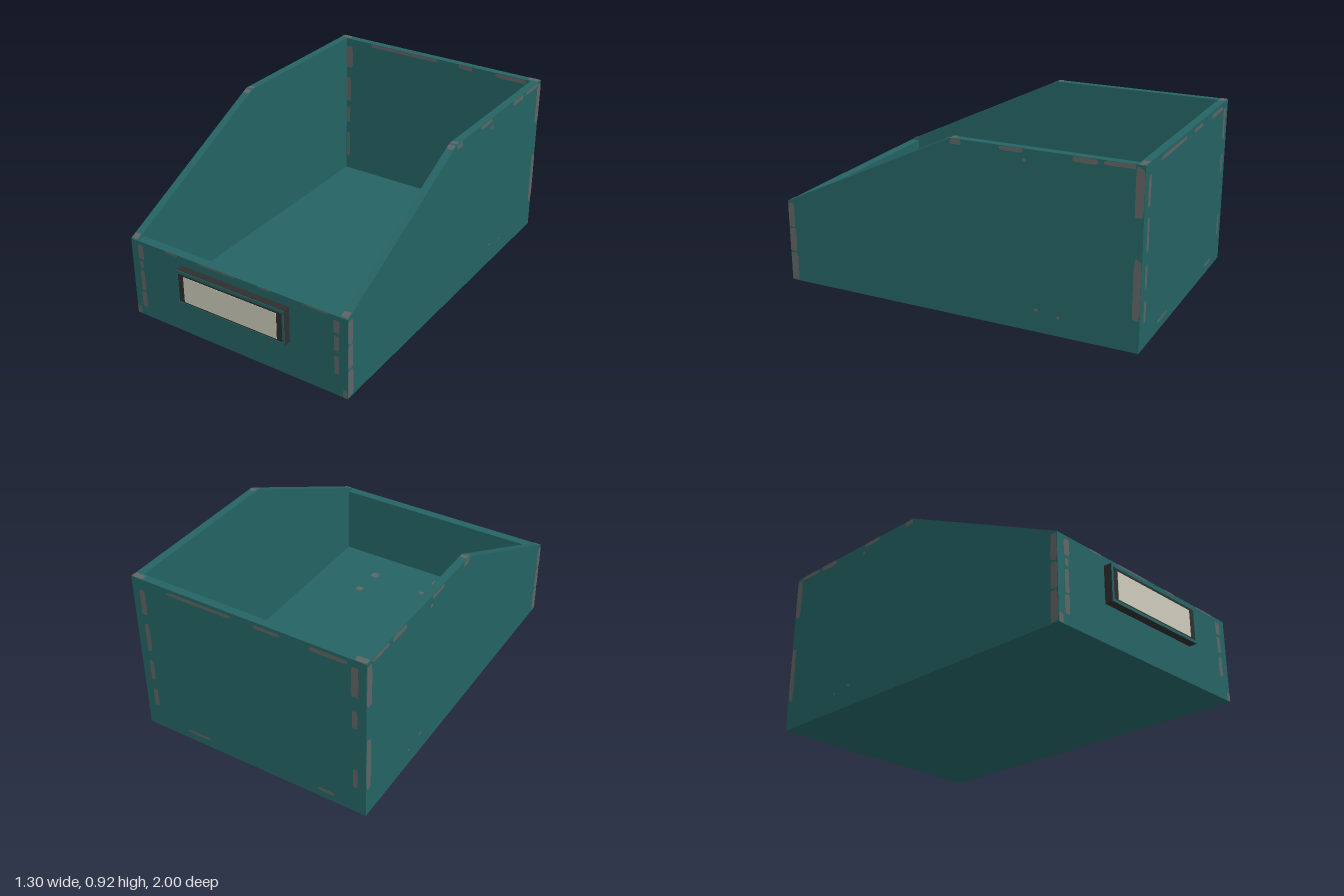
import * as THREE from 'three';

const W = 0.65, T = 0.042, BACK = -1, FRONT = 0.955, FT = 0.05, H = 0.915, LIP = 0.445, FLOOR = 0.04;

const mat = (name, color) => {
  const m = new THREE.MeshStandardMaterial({ color });
  m.name = name;
  return m;
};

export function createModel() {
  const root = new THREE.Group();
  root.name = 'storageBin';
  const teal = mat('teal paint', 0x256363);
  const grey = mat('worn metal', 0x616464);
  const dark = mat('dark frame', 0x302f2f);
  const paper = mat('label paper', 0xcccbbb);

  const add = (name, geo, material, parent = root) => {
    const m = new THREE.Mesh(geo, material);
    m.name = name;
    parent.add(m);
    return m;
  };
  // Box given by its minimum and maximum corners
  const box = (name, x0, x1, y0, y1, z0, z1, material) =>
    add(name, new THREE.BoxGeometry(x1 - x0, y1 - y0, z1 - z0), material)
      .position.set((x0 + x1) / 2, (y0 + y1) / 2, (z0 + z1) / 2);

  // Sloped side walls, drawn with u = -z
  const profile = new THREE.Shape([
    [-FRONT, 0], [-BACK, 0], [-BACK, H], [0.02, H], [-FRONT, LIP],
  ].map(([u, v]) => new THREE.Vector2(u, v)));
  const wall = new THREE.ExtrudeGeometry(profile, { depth: T, bevelEnabled: false }).rotateY(Math.PI / 2);
  add('leftWall', wall, teal).position.x = W - T;
  add('rightWall', wall, teal).position.x = -W;

  // Front, back and floor panels
  const I = W - T;
  box('frontWall', -I, I, 0, LIP, FRONT - FT, FRONT, teal);
  box('backWall', -I, I, 0, H, BACK, BACK + T, teal);
  box('floor', -I, I, 0, FLOOR, BACK + T, FRONT - FT, teal);

  // Label holder: dark body, painted rim, paper insert
  box('labelHolder', -0.325, 0.325, 0.2, 0.395, FRONT, 0.997, dark);
  const rect = (P, x, y0, y1) => new P().moveTo(-x, y0).lineTo(x, y0).lineTo(x, y1).lineTo(-x, y1).lineTo(-x, y0);
  const rim = rect(THREE.Shape, 0.325, 0.2, 0.395);
  rim.holes.push(rect(THREE.Path, 0.314, 0.214, 0.379));
  add('labelRim', new THREE.ExtrudeGeometry(rim, { depth: 0.003, bevelEnabled: false }), teal).position.z = 0.997;
  box('label', -0.28, 0.28, 0.222, 0.367, 0.997, 0.999, paper);

  // Worn patches: slightly irregular rounded plates
  let seed = 7;
  const rnd = () => (seed = (seed * 16807) % 2147483647) / 2147483647;
  const patch = (u0, u1, v0, v1) => {
    const pts = [];
    for (let i = 0; i < 16; i++) {
      const a = (i + 0.5) / 16 * Math.PI * 2, c = Math.cos(a), s = Math.sin(a);
      const k = 1 - 0.12 * rnd();
      const q = (t) => Math.sign(t) * Math.abs(t) ** 0.35 * k;
      pts.push(new THREE.Vector2((u0 + u1) / 2 + q(c) * (u1 - u0) / 2, (v0 + v1) / 2 + q(s) * (v1 - v0) / 2));
    }
    return new THREE.ShapeGeometry(new THREE.Shape(pts));
  };
  const wear = (name, position, rotation, list) => {
    const g = new THREE.Group();
    g.name = name;
    g.position.set(...position);
    g.rotation.set(...rotation);
    list.forEach((p) => add('wornPatch', patch(...p), grey, g));
    root.add(g);
  };
  const E = 0.002;

  wear('frontWear', [0, 0, FRONT + E], [0, 0, 0], [
    [-0.61, -0.575, 0.05, 0.15], [-0.605, -0.577, 0.15, 0.28], [-0.603, -0.577, 0.29, 0.33],
    [-0.608, -0.57, 0.34, 0.43], [0.575, 0.605, 0.12, 0.23], [0.575, 0.605, 0.25, 0.34],
    [0.572, 0.608, 0.35, 0.425], [-0.65, -0.62, 0, 0.045], [0.625, 0.65, 0, 0.045],
    [-0.43, -0.34, 0.435, LIP], [-0.24, 0.02, 0.436, LIP], [0.14, 0.22, 0.436, LIP], [0.4, 0.55, 0.436, LIP],
  ]);
  wear('innerBackWear', [0, 0, BACK + T + E], [0, 0, 0], [
    [-0.61, -0.56, 0.73, 0.87], [-0.61, -0.573, 0.5, 0.67], [-0.605, -0.58, 0.36, 0.47],
    [-0.605, -0.58, 0.12, 0.3], [0.572, 0.608, 0.67, 0.9], [0.572, 0.608, 0.43, 0.53],
    [-0.46, 0.03, 0.893, H], [0.16, 0.25, 0.89, H], [0.39, 0.59, 0.888, H],
  ]);
  wear('outerBackWear', [0, 0, BACK - E], [0, Math.PI, 0], [
    [-0.61, -0.575, 0.7, 0.86], [-0.605, -0.575, 0.48, 0.66], [-0.605, -0.578, 0.3, 0.43],
    [-0.605, -0.575, 0.13, 0.25], [0.57, 0.61, 0.7, 0.88], [0.575, 0.605, 0.52, 0.63],
    [0.578, 0.605, 0.15, 0.28], [-0.45, -0.05, 0.88, 0.9], [0.05, 0.2, 0.88, 0.9],
    [0.35, 0.56, 0.875, 0.9], [-0.4, -0.25, 0.045, 0.06], [0.38, 0.48, 0.04, 0.06],
  ]);

  // Side wear, mirrored; u runs towards the back on the left side
  const sideWear = [
    [-FRONT, -0.908, 0, 0.16], [-FRONT, -0.912, 0.16, 0.3], [-FRONT, -0.915, 0.3, 0.44],
    [0.955, 1, 0.66, 0.91], [0.96, 1, 0.16, 0.48], [0.02, 0.08, 0.885, H],
    [0.28, 0.41, 0.892, H], [0.65, 0.78, 0.885, H], [0.8, 0.96, 0.892, H],
    [0.4, 0.42, 0.85, 0.87], [0.465, 0.49, 0.108, 0.124], [0.585, 0.6, 0.09, 0.105],
  ];
  wear('leftWear', [W + E, 0, 0], [0, Math.PI / 2, 0], sideWear);
  wear('rightWear', [-W - E, 0, 0], [0, -Math.PI / 2, 0], sideWear.map(([a, b, c, d]) => [-b, -a, c, d]));

  // Floor specks and worn corners of the top rim (v = -z)
  const up = [-Math.PI / 2, 0, 0];
  wear('floorWear', [0, FLOOR + E, 0], up, [
    [0.26, 0.88, 0.015], [0.31, -0.54, 0.02], [0.3, -0.71, 0.024], [-0.03, -0.69, 0.015],
    [-0.06, -0.82, 0.023], [-0.19, -0.76, 0.014], [-0.45, -0.89, 0.015], [-0.56, -0.69, 0.013],
  ].map(([x, v, r]) => [x - r, x + r, v - r, v + r]));
  const corners = [];
  for (const s of [-1, 1]) {
    const cx = s * 0.617;
    corners.push([cx - 0.033, cx + 0.033, 0.965, 1], [s * 0.629 - 0.02, s * 0.629 + 0.02, 0.022, 0.05]);
    // Slope of the rim at the front corner and at the bend
    for (const [z, len] of [[0.935, 0.036], [0, 0.03]]) {
      const m = add('rimWear', patch(-0.02, 0.02, -len / 2, len / 2), grey);
      const slope = (H - LIP) / (FRONT + 0.02);
      m.position.set(s * 0.629, LIP + (FRONT - z) * slope + E, z);
      m.rotation.x = -Math.PI / 2 + Math.atan(slope);
    }
  }
  wear('rimCornerWear', [0, H + E, 0], up, corners);

  return root;
}
